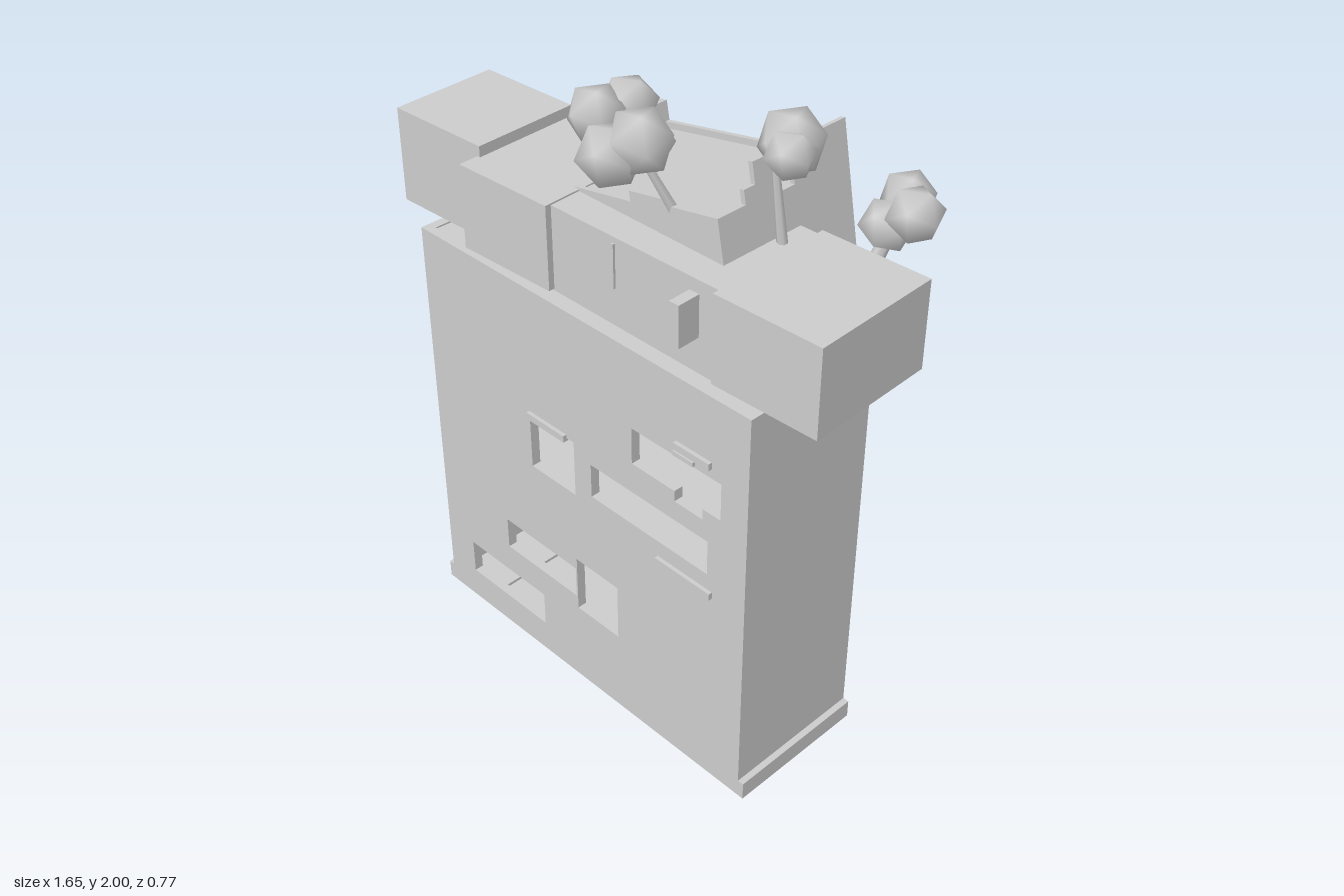
import * as THREE from 'three';
import { mergeVertices } from 'three/addons/utils/BufferGeometryUtils.js';

const stone = new THREE.MeshStandardMaterial({ color: 0xcccccc });
stone.name = 'pale grey';

function add(parent, name, geometry) {
  const mesh = new THREE.Mesh(geometry, stone);
  mesh.name = name;
  parent.add(mesh);
  return mesh;
}

// Box given by its limits on each axis
function box(parent, name, x0, x1, y0, y1, z0, z1, turn = 0) {
  const mesh = add(parent, name, new THREE.BoxGeometry(x1 - x0, y1 - y0, z1 - z0));
  mesh.position.set((x0 + x1) / 2, (y0 + y1) / 2, (z0 + z1) / 2);
  mesh.rotation.y = turn;
  return mesh;
}

const polygon = (points) => points.map(([x, y]) => new THREE.Vector2(x, y));
const rect = ([x0, x1, y0, y1]) => polygon([[x0, y0], [x1, y0], [x1, y1], [x0, y1]]);

// Flat wall in x and y with openings, extruded along z
function wall(parent, name, outline, openings, z, depth) {
  const shape = new THREE.Shape(outline);
  openings.forEach((o) => shape.holes.push(new THREE.Path(o)));
  const mesh = add(parent, name, new THREE.ExtrudeGeometry(shape, { depth, bevelEnabled: false }));
  mesh.position.z = z;
  return mesh;
}

// Smooth low-poly leaf ball
function leafBall(r) {
  const g = new THREE.IcosahedronGeometry(r, 0);
  g.deleteAttribute('normal');
  g.deleteAttribute('uv');
  const merged = mergeVertices(g, 1e-4);
  merged.computeVertexNormals();
  return merged;
}

function tree(parent, from, to, radius, balls) {
  const g = new THREE.Group();
  g.name = 'tree';
  const a = new THREE.Vector3(...from), b = new THREE.Vector3(...to);
  const trunk = add(g, 'trunk', new THREE.CylinderGeometry(radius * 0.6, radius, a.distanceTo(b), 6));
  trunk.position.copy(a).add(b).multiplyScalar(0.5);
  trunk.quaternion.setFromUnitVectors(new THREE.Vector3(0, 1, 0), b.clone().sub(a).normalize());
  balls.forEach(([x, y, z, r], i) => {
    const ball = add(g, 'foliage', leafBall(r));
    ball.position.set(x, y, z);
    ball.rotation.set(0.3 + i, 0.5 * i, 0.2);
  });
  parent.add(g);
}

function buildTower() {
  const g = new THREE.Group();
  g.name = 'tower';
  const outline = rect([-0.67, 0.64, 0, 1.355]);

  // Front and back walls with their windows
  const front = [[-0.55, -0.2, 0.11, 0.23], [-0.36, -0.043, 0.33, 0.44], [-0.037, 0.14, 0.285, 0.48],
    [-0.22, -0.03, 0.73, 0.92], [0.04, 0.5, 0.765, 0.88]].map(rect);
  front.push(polygon([[0.21, 0.98], [0.375, 0.98], [0.375, 0.945], [0.48, 0.945], [0.48, 0.98],
    [0.545, 0.98], [0.545, 1.1], [0.21, 1.1]]));
  wall(g, 'frontWall', outline, front, 0.295, 0.03);
  const back = [[-0.6, -0.45, 0.045, 0.23], [-0.12, 0.27, 0.09, 0.195], [0.19, 0.475, 0.31, 0.43],
    [-0.27, 0.01, 0.525, 0.63], [-0.49, -0.1, 0.97, 1.09], [-0.64, -0.15, 1.2, 1.32]].map(rect);
  wall(g, 'backWall', outline, back, -0.14, 0.03);

  // Side walls, bottom and roof
  box(g, 'leftWall', 0.61, 0.64, 0, 1.355, -0.11, 0.295);
  box(g, 'rightWall', -0.67, -0.64, 0, 1.355, -0.11, 0.295);
  box(g, 'bottomSlab', -0.64, 0.61, 0, 0.04, -0.11, 0.295);
  box(g, 'roofSlab', -0.64, 0.61, 1.325, 1.35, -0.11, 0.295);
  box(g, 'plinth', 0.64, 0.66, 0, 0.06, -0.14, 0.325);
  box(g, 'plinth', -0.69, -0.67, 0, 0.06, -0.14, 0.325);

  // Inner floors and partitions seen through the windows
  [[-0.43, 0.6, 0.09, -0.11, 0.295], [-0.6, -0.43, 0.1, 0.06, 0.295], [-0.36, -0.02, 0.73, -0.05, 0.295],
    [0.0, 0.52, 0.76, -0.08, 0.295], [-0.6, -0.22, 0.97, -0.11, 0.12], [-0.64, 0.0, 1.2, -0.11, 0.295],
  ].forEach(([x0, x1, y, z0, z1]) => box(g, 'innerFloor', x0, x1, y - 0.02, y, z0, z1));
  box(g, 'partition', 0.475, 0.49, 0.2, 0.46, -0.11, 0.28);
  box(g, 'partition', 0.01, 0.025, 0.4, 0.65, -0.11, 0.18);

  // Thin ledges on both faces
  [[-0.22, -0.06, 0.91], [0.31, 0.52, 0.69], [0.38, 0.51, 1.13]].forEach(([x0, x1, y]) =>
    box(g, 'frontLedge', x0, x1, y, y + 0.022, 0.32, 0.337));
  box(g, 'frontLedge', 0.375, 0.45, 1.108, 1.122, 0.32, 0.335);
  [[-0.4, -0.22, 0.69], [-0.39, -0.24, 0.91], [-0.6, -0.39, 1.13]].forEach(([x0, x1, y]) =>
    box(g, 'backLedge', x0, x1, y, y + 0.022, -0.152, -0.13));
  return g;
}

function buildCrown() {
  const g = new THREE.Group();
  g.name = 'crown';
  // Slightly turned blocks on top of the tower
  box(g, 'rightEndBlock', -0.82, -0.47, 1.37, 1.667, -0.09, 0.262, 0.045);
  box(g, 'rightMiddleBlock', -0.48, -0.14, 1.37, 1.633, -0.1, 0.312, 0.045);
  box(g, 'leftMiddleBlock', -0.15, 0.48, 1.37, 1.628, -0.1, 0.277, 0.025);
  box(g, 'leftEndBlock', 0.47, 0.812, 1.37, 1.637, -0.122, 0.295, 0.035);
  box(g, 'blockFooting', -0.25, 0.6, 1.34, 1.375, -0.1, 0.27);
  box(g, 'frontPost', 0.372, 0.405, 1.46, 1.588, 0.26, 0.345, 0.025);
  box(g, 'frontSlot', 0.1, 0.108, 1.475, 1.61, 0.27, 0.286, 0.025);
  return g;
}

function buildTiltedRoom() {
  const g = new THREE.Group();
  g.name = 'tiltedRoom';
  g.position.set(-0.27, 1.342, 0);
  g.rotation.z = 0.19;
  const t = 0.015;
  // Open-bottomed shell with parapets
  wall(g, 'roomBackWall', rect([0, 0.71, 0, 0.27]), [rect([0.35, 0.42, 0.08, 0.16])], -0.31, t);
  wall(g, 'roomFrontWall', polygon([[0, 0], [0.71, 0], [0.71, 0.28], [0.52, 0.28], [0.52, 0.295],
    [0.39, 0.295], [0.39, 0.265], [0, 0.265]]), [], 0.165, t);
  box(g, 'roomRoof', t, 0.71 - t, 0.235, 0.25, -0.295, 0.165);
  // End wall with a small window, drawn in z and turned into place
  const end = wall(g, 'roomLeftWall', polygon([[-0.165, 0], [0.31, 0], [0.31, 0.38], [-0.04, 0.38],
    [-0.04, 0.32], [-0.08, 0.32], [-0.08, 0.28], [-0.165, 0.28]]), [rect([0.03, 0.1, 0.27, 0.34])], 0, t);
  end.rotation.y = Math.PI / 2;
  end.position.x = 0.71 - t;
  box(g, 'roomRightWall', 0, t, 0, 0.265, -0.295, 0.165);
  box(g, 'roomRightParapet', 0, t * 2, 0.25, 0.33, -0.31, -0.08);
  box(g, 'roomRightPanel', 0.16, 0.175, 0.25, 0.36, -0.14, 0);
  return g;
}

export function createModel() {
  const model = new THREE.Group();
  model.name = 'stackedTower';
  model.add(buildTower(), buildCrown(), buildTiltedRoom());

  // Small trees growing from the roof
  tree(model, [0.23, 1.62, 0.13], [0.16, 1.86, 0.23], 0.018,
    [[0.175, 1.915, 0.25, 0.092], [0.12, 1.875, 0.3, 0.09], [0.13, 1.88, 0.2, 0.085]]);
  tree(model, [0.425, 1.6, -0.01], [0.4, 1.88, 0.01], 0.016,
    [[0.42, 1.905, -0.03, 0.093], [0.46, 1.9, 0.02, 0.07]]);
  tree(model, [-0.31, 1.6, 0.0], [-0.25, 1.76, 0.01], 0.016,
    [[-0.245, 1.76, 0.015, 0.09], [-0.225, 1.765, -0.09, 0.085]]);
  tree(model, [0.54, 1.44, -0.17], [0.59, 1.67, -0.26], 0.026,
    [[0.57, 1.695, -0.32, 0.078], [0.66, 1.715, -0.235, 0.08], [0.59, 1.665, -0.215, 0.075]]);
  return model;
}
